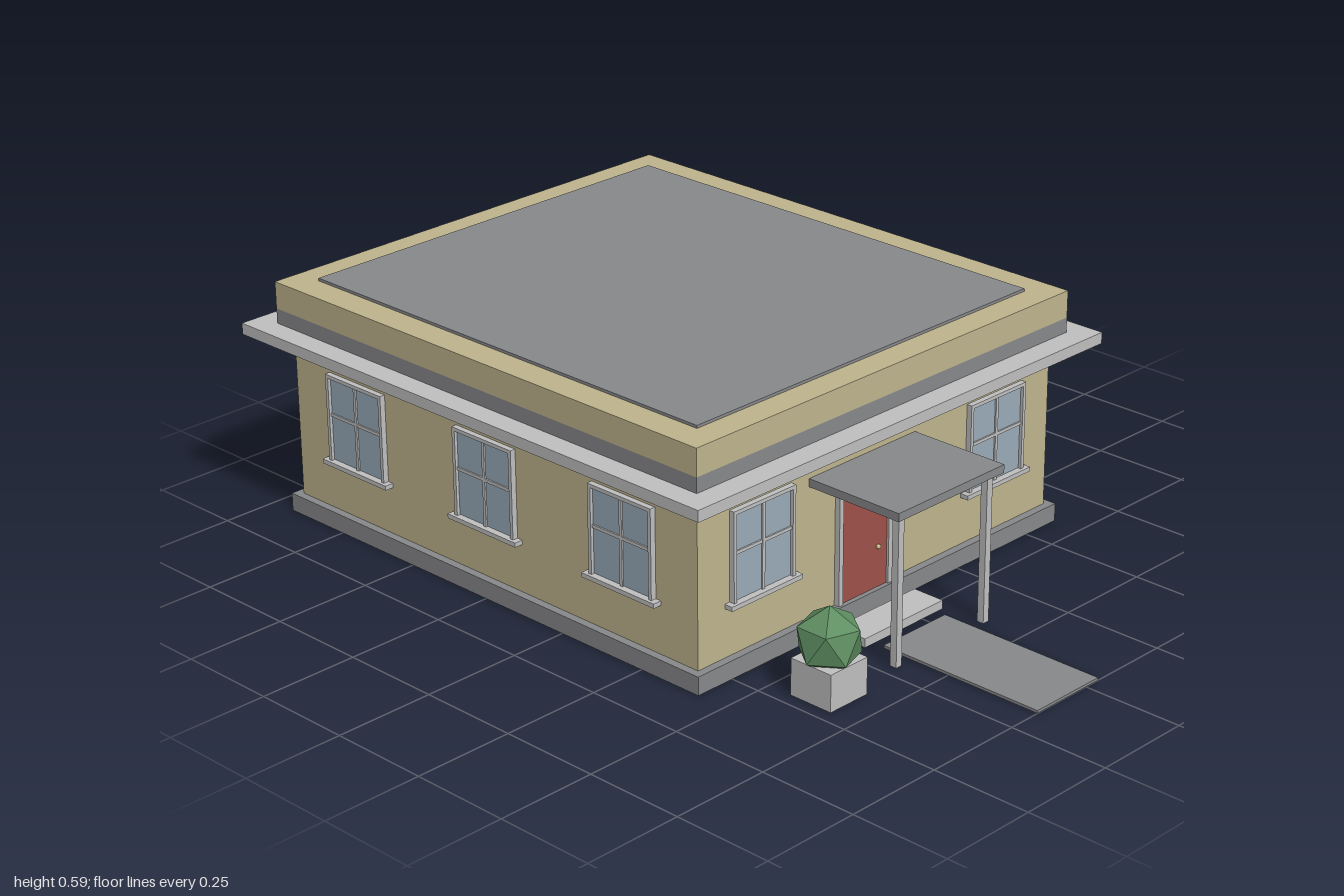
import * as THREE from 'three';

const mat = (name, color, extra = {}) => {
  const m = new THREE.MeshStandardMaterial({ color, ...extra });
  m.name = name;
  return m;
};

export function createModel() {
  const wall = mat('sand wall', 0xbfb58d);
  const grey = mat('dark grey', 0x88898b);
  const trim = mat('light grey trim', 0xc0c0c0);
  const glass = mat('window glass', 0x9aacb9);
  const red = mat('door red', 0x9f514a);
  const brass = mat('brass', 0xcdb98a);
  const green = mat('leaf green', 0x5f8f62, { flatShading: true });

  const model = new THREE.Group();
  model.name = 'bungalow';

  // Box given by its centre in x and z, and its bottom and top in y
  const box = (parent, name, material, x, z, w, d, y0, y1) => {
    const mesh = new THREE.Mesh(new THREE.BoxGeometry(w, y1 - y0, d), material);
    mesh.name = name;
    mesh.position.set(x, (y0 + y1) / 2, z);
    parent.add(mesh);
    return mesh;
  };

  // Stacked body of the house
  const cz = -0.255;
  box(model, 'foundation', grey, 0, cz, 1.21, 1.356, 0, 0.045);
  box(model, 'walls', wall, 0, cz, 1.17, 1.316, 0.045, 0.455);
  box(model, 'cornice', trim, 0, cz, 1.34, 1.49, 0.455, 0.483);
  box(model, 'parapetBand', grey, 0, cz, 1.226, 1.37, 0.483, 0.52);
  box(model, 'parapet', wall, 0, cz, 1.226, 1.37, 0.52, 0.587);
  box(model, 'roofSlab', grey, 0, cz, 1.08, 1.23, 0.587, 0.594);

  // Window facing +z, with its back on the wall plane
  const addWindow = (x, z, turn) => {
    const g = new THREE.Group();
    g.name = 'window';
    box(g, 'glass', glass, 0, 0.003, 0.18, 0.006, 0.176, 0.386);
    for (const s of [-1, 1]) box(g, 'frameSide', trim, s * 0.0925, 0.007, 0.009, 0.014, 0.175, 0.393);
    box(g, 'frameTop', trim, 0, 0.007, 0.176, 0.014, 0.384, 0.393);
    box(g, 'verticalBar', trim, 0, 0.005, 0.008, 0.01, 0.175, 0.384);
    box(g, 'horizontalBar', trim, 0, 0.005, 0.176, 0.0095, 0.287, 0.295);
    box(g, 'sill', trim, 0, 0.011, 0.224, 0.022, 0.164, 0.175);
    g.position.set(x, 0, z);
    g.rotation.y = turn;
    model.add(g);
  };
  for (const s of [-1, 1]) {
    addWindow(s * 0.39, 0.403, 0);
    addWindow(s * 0.29, -0.913, Math.PI);
    for (const z of [0.18, -0.257, -0.695]) addWindow(s * 0.585, z, s * Math.PI / 2);
  }

  // Front door with surround and knob
  const door = new THREE.Group();
  door.name = 'door';
  door.position.set(-0.062, 0, 0.403);
  box(door, 'doorLeaf', red, 0, 0.004, 0.152, 0.008, 0.045, 0.308);
  for (const s of [-1, 1]) box(door, 'doorJamb', trim, s * 0.0825, 0.007, 0.013, 0.014, 0.045, 0.32);
  box(door, 'doorHead', trim, 0, 0.007, 0.152, 0.014, 0.308, 0.32);
  const knob = new THREE.Mesh(new THREE.SphereGeometry(0.006, 10, 8), brass);
  knob.name = 'doorKnob';
  knob.position.set(0.044, 0.147, 0.012);
  door.add(knob);
  model.add(door);

  // Porch canopy on two posts, step and path
  box(model, 'canopy', grey, -0.062, 0.533, 0.35, 0.26, 0.364, 0.384);
  for (const s of [-1, 1]) box(model, 'canopyPost', trim, -0.062 + s * 0.147, 0.638, 0.018, 0.018, 0, 0.364);
  box(model, 'doorStep', trim, -0.062, 0.491, 0.262, 0.084, 0, 0.022);
  box(model, 'path', grey, -0.062, 0.782, 0.206, 0.436, 0, 0.007);

  // Planter with a faceted bush standing on one vertex
  box(model, 'planter', trim, -0.408, 0.622, 0.116, 0.116, 0, 0.09);
  const bushShape = new THREE.IcosahedronGeometry(0.08, 0);
  bushShape.rotateZ(-Math.atan(2 / (1 + Math.sqrt(5))));
  const bush = new THREE.Mesh(bushShape, green);
  bush.name = 'bush';
  bush.position.set(-0.408, 0.134, 0.622);
  model.add(bush);

  return model;
}
